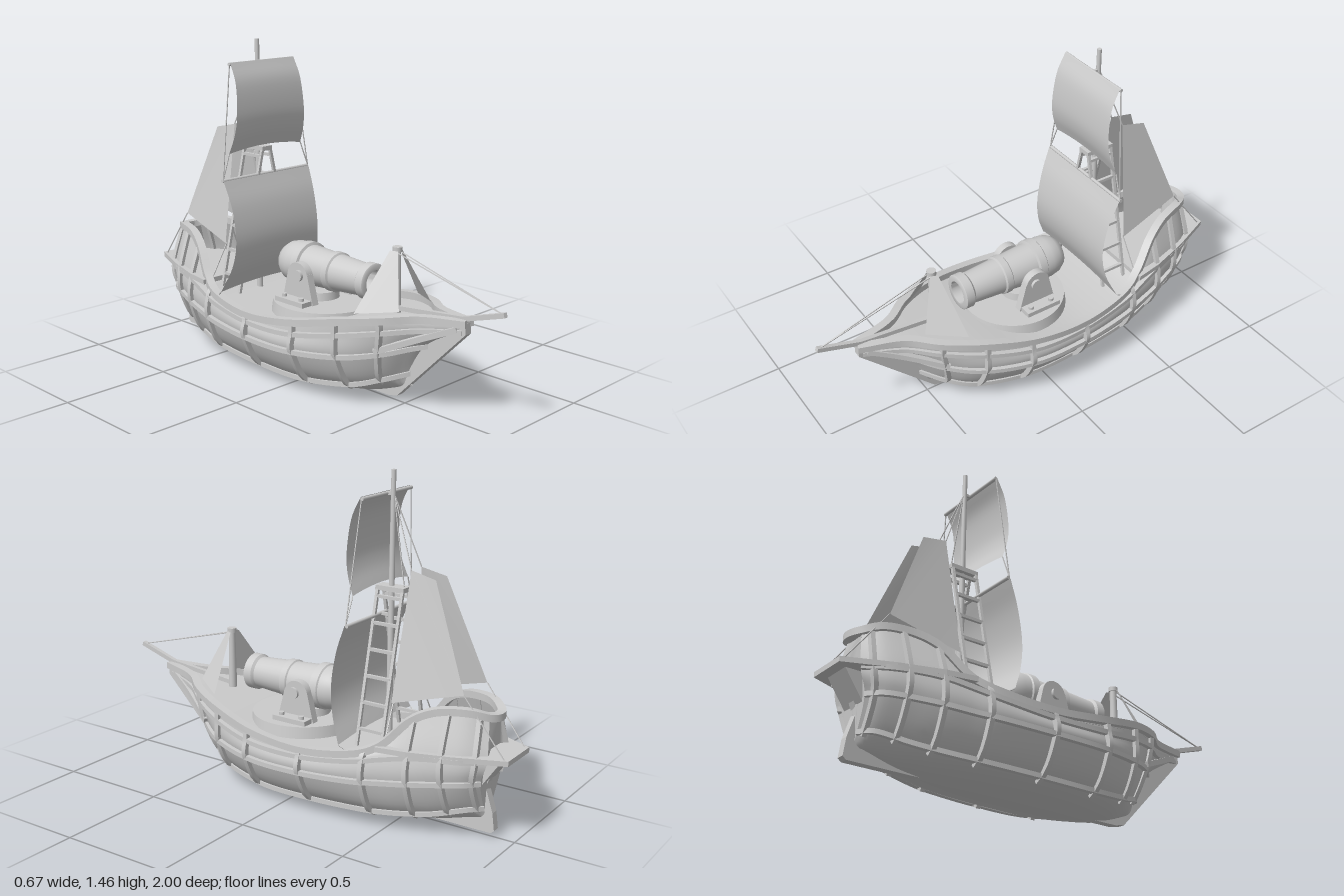
import * as THREE from 'three';
import { toCreasedNormals } from 'three/addons/utils/BufferGeometryUtils.js';

const V = (x, y, z) => new THREE.Vector3(x, y, z);
const mat = new THREE.MeshStandardMaterial({ color: 0xcccccc });
const thin = new THREE.MeshStandardMaterial({ color: 0xcccccc, side: THREE.DoubleSide });
const curve = (pts) => new THREE.CatmullRomCurve3(pts, false, 'catmullrom', 0.5);

// Hull lines on the left side, stern to bow: rail, upper wale, widest wale, low wale
const row = (pts) => pts.map((p) => V(...p));
const rim = row([[.05, .53, -.89], [.1, .55, -.82], [.14, .54, -.7], [.18, .49, -.6], [.225, .385, -.5], [.27, .335, -.38],
  [.3, .31, -.15], [.3, .335, .1], [.25, .38, .33], [.17, .405, .5], [.07, .42, .63], [.012, .43, .82]]);
const upper = row([[.1, .36, -.91], [.16, .36, -.82], [.2, .36, -.7], [.23, .35, -.6], [.255, .33, -.5], [.285, .305, -.38],
  [.308, .28, -.15], [.305, .285, .1], [.25, .32, .33], [.165, .35, .5], [.07, .37, .63], [.01, .39, .8]]);
const middle = row([[.09, .26, -.88], [.15, .26, -.82], [.2, .25, -.7], [.235, .24, -.6], [.26, .23, -.5], [.29, .22, -.38],
  [.315, .21, -.15], [.31, .21, .1], [.245, .225, .33], [.15, .25, .48], [.06, .275, .57], [.005, .29, .63]]);
const lower = row([[.03, .13, -.87], [.08, .13, -.82], [.13, .1, -.7], [.16, .085, -.6], [.185, .075, -.5], [.205, .068, -.38],
  [.22, .062, -.15], [.215, .062, .1], [.165, .085, .33], [.1, .12, .45], [.04, .14, .51], [.004, .15, .54]]);
const keelLine = lower.map((p) => V(0, Math.max(.003, p.y - .062), p.z));
const lines = [rim, upper, middle, lower, keelLine].map(curve);

// Full cross-section of the hull from the right rail under the keel to the left rail
function section(t, k) {
  const half = lines.map((c) => c.getPoint(t));
  const pts = half.map((p) => V(-p.x * k, p.y, p.z));
  for (let i = 3; i >= 0; i--) pts.push(V(half[i].x * k, half[i].y, half[i].z));
  return curve(pts);
}
function stationAt(z) {
  let i = 0;
  while (i < rim.length - 2 && rim[i + 1].z < z) i++;
  return (i + (z - rim[i].z) / (rim[i + 1].z - rim[i].z)) / (rim.length - 1);
}

// Skin over a row of cross-sections
function loft(rings, { closed = false, capStart = false, capEnd = false } = {}) {
  const n = rings[0].length, index = [];
  for (let i = 0; i < rings.length - 1; i++) {
    for (let j = 0; j < (closed ? n : n - 1); j++) {
      const a = i * n + j, b = i * n + (j + 1) % n;
      index.push(a, b, b + n, a, b + n, a + n);
    }
  }
  const e = (rings.length - 1) * n;
  for (let j = 1; j < n - 1; j++) {
    if (capStart) index.push(0, j + 1, j);
    if (capEnd) index.push(e, e + j, e + j + 1);
  }
  const g = new THREE.BufferGeometry().setFromPoints(rings.flat());
  g.setIndex(index);
  return toCreasedNormals(g, .7);
}

// Square timber swept along points; a is its size along ref, b its size across
function beam(pts, a, b = a, ref = V(0, 1, 0)) {
  const rings = pts.map((p, i) => {
    const t = pts[Math.min(i + 1, pts.length - 1)].clone().sub(pts[Math.max(i - 1, 0)]).normalize();
    const u = ref.clone().addScaledVector(t, -ref.dot(t)).normalize();
    const w = t.clone().cross(u);
    return [[1, 1], [-1, 1], [-1, -1], [1, -1]].map(([m, n]) =>
      p.clone().addScaledVector(u, m * a / 2).addScaledVector(w, n * b / 2));
  });
  return loft(rings, { closed: true, capStart: true, capEnd: true });
}

// Plate cut from a (z, y) shape, centred on x
function plate(shape, width, x = 0) {
  return new THREE.ExtrudeGeometry(shape, { depth: width, bevelEnabled: false, curveSegments: 16 })
    .rotateY(-Math.PI / 2).translate(x + width / 2, 0, 0);
}
const polygon = (pts) => new THREE.Shape(pts.map((p) => new THREE.Vector2(...p)));

export function createModel() {
  const model = new THREE.Group();
  const add = (name, geo, material = mat) => {
    const m = new THREE.Mesh(geo, material);
    m.name = name;
    model.add(m);
    return m;
  };
  const steps = (n, f) => Array.from({ length: n + 1 }, (_, i) => f(i / n));
  const flip = (s) => (p) => V(p.x * s, p.y, p.z);

  // Hull shell, deck, rail
  add('hull', loft(steps(66, (t) => section(t, .965).getPoints(48)), { capStart: true }), thin);
  add('deck', loft(steps(60, (t) => {
    const r = lines[0].getPoint(t), w = Math.max(r.x, lines[1].getPoint(t).x) * .965;
    const y = r.z < -.45 ? Math.min(r.y - .02, .36) : r.y - .02;
    return [V(w, y, r.z), V(-w, y, r.z)];
  })), thin);
  const railPath = [...rim].reverse().map(flip(-1)).concat([V(0, .525, -.91)], rim);
  add('rail', beam(curve(railPath).getPoints(130), .03, .036));

  // Keel with stem and sternpost, stern gallery and its bracket
  add('keel', plate(polygon([[.82, .43], [.82, .385], [.47, .03], [.42, .02], [-.9, .022], [-.915, .035], [-.905, .11],
    [-.87, .22], [-.93, .36], [-.8, .34], [-.4, .2], [.3, .2], [.6, .37]]), .036));
  const edge = [[.262, -.49], [.238, -.62], [.18, -.8], [.095, -1]];
  const gallery = polygon([...edge, ...edge.slice().reverse().map(([x, z]) => [-x, z])]);
  add('sternGallery', new THREE.ExtrudeGeometry(gallery, { depth: .022, bevelEnabled: false })
    .rotateX(Math.PI / 2).translate(0, .382, 0));
  add('sternBracket', plate(polygon([[-.86, .365], [-.86, .22], [-.96, .365]]), .13));

  // Wales and ribs of the outer frame
  for (const s of [1, -1]) {
    for (const [i, name] of [[1, 'upperWale'], [2, 'middleWale'], [3, 'lowerWale']]) {
      add(name, beam(lines[i].getPoints(60).map(flip(s)), .02, .024));
    }
    for (const z of [.5, .33, .13, -.15, -.43, -.62, -.75, -.86]) {
      const c = section(stationAt(z), 1.005);
      add('rib', beam(steps(14, (u) => c.getPoint(.605 + .39 * u)).map(flip(s)), .02, .024, V(0, 0, 1)));
    }
    add('headRail', beam(curve([V(.02, .4, .78), V(.075, .34, .64), V(.165, .265, .47)].map(flip(s))).getPoints(10), .024));
  }

  // Turntable, carriage and cannon
  add('turntable', new THREE.CylinderGeometry(.232, .24, .05, 48).translate(0, .335, .035));
  add('turntableHub', new THREE.CylinderGeometry(.08, .085, .04, 32).translate(0, .375, 0));
  const barrel = [[0, -.222], [.035, -.217], [.068, -.2], [.088, -.17], [.096, -.13], [.096, -.095], [.102, -.09], [.102, -.055],
    [.09, -.05], [.082, .08], [.088, .085], [.088, .115], [.08, .12], [.07, .27], [.08, .28], [.08, .318], [.074, .322],
    [.052, .322], [.052, .12], [0, .12]];
  add('cannonBarrel', toCreasedNormals(new THREE.LatheGeometry(barrel.map(([r, z]) => new THREE.Vector2(r, z)), 40)
    .rotateX(Math.PI / 2), .6)).position.y = .49;
  add('trunnion', new THREE.CylinderGeometry(.025, .025, .29, 20).rotateZ(Math.PI / 2).translate(0, .48, 0));
  for (const s of [1, -1]) {
    const cheek = new THREE.Shape();
    cheek.moveTo(.085, .36);
    cheek.lineTo(.05, .49);
    cheek.absarc(-.01, .475, .06, .25, Math.PI - .25, false);
    cheek.lineTo(-.1, .36);
    add('carriageCheek', plate(cheek, .035, s * .115));
    add('carriageFoot', new THREE.BoxGeometry(.075, .022, .17).translate(s * .15, .37, -.008));
    for (const z of [-.06, .045]) add('footBolt', new THREE.CylinderGeometry(.012, .012, .014, 10).translate(s * .162, .387, z));
  }

  // Bowsprit, foremast and mainmast
  add('bowsprit', beam([V(0, .41, .45), V(0, .445, .8), V(0, .505, .995)], .02));
  add('foremast', new THREE.CylinderGeometry(.015, .019, .28, 16).translate(0, .53, .445));
  add('foremastCap', new THREE.CylinderGeometry(.021, .021, .02, 16).translate(0, .66, .445));
  add('mainmast', new THREE.CylinderGeometry(.01, .015, 1.15, 16).translate(0, .885, -.4));
  add('mastTop', new THREE.BoxGeometry(.06, .02, .135).translate(0, .975, -.407));

  // Climbing ladders leaning against the mast
  const lean = (y) => .022 + (.975 - y) * .23;
  for (const s of [1, -1]) {
    for (const z of [-.348, -.466]) add('ladderLeg', beam([V(s * lean(.33), .33, z), V(s * lean(.975), .975, z)], .013, .013, V(0, 0, 1)));
    for (let y = .4; y < .95; y += .108) {
      add('ladderRung', beam([V(s * lean(y), y, -.348), V(s * lean(y), y, -.466)], .013));
    }
  }

  // Square sails billowing forward: [half width, y, z] down each edge
  function squareSail(name, profile, arch) {
    const c = curve(row(profile));
    add(name, loft(steps(20, (t) => {
      const p = c.getPoint(t);
      return steps(12, (u) => V(p.x * (2 * u - 1), p.y + arch * t * 4 * u * (1 - u), p.z));
    })), thin);
  }
  squareSail('topsail', [[.188, 1.37, -.365], [.192, 1.28, -.325], [.2, 1.15, -.31], [.207, 1.06, -.32], [.215, .975, -.35]], .018);
  squareSail('mainsail', [[.258, .86, -.34], [.25, .74, -.295], [.25, .6, -.272], [.262, .48, -.287], [.29, .365, -.335]], .018);
  for (const [y, z, w] of [[1.362, -.372, .19], [.86, -.35, .258]]) {
    add('yard', new THREE.CylinderGeometry(.008, .008, w * 2, 10).rotateZ(Math.PI / 2).translate(0, y, z));
    add('yardSling', beam([V(0, y, z), V(0, y, -.4)], .012));
  }

  // Paired foresails and stern sails, with rigging
  function flatSail(name, pts) {
    const g = new THREE.BufferGeometry().setFromPoints(pts);
    g.setIndex([0, 1, 2, 0, 2, 3]);
    g.computeVertexNormals();
    add(name, g, thin);
  }
  const rope = (a, b) => add('rope', beam([a, b], .004, .004, V(.1, .3, .9).normalize()));
  rope(V(0, 1.36, -.405), V(0, .98, -.46));
  for (const s of [1, -1]) {
    flatSail('foresail', [V(.015, .655, .46), V(.03, .655, .43), V(.2, .415, .39), V(.1, .435, .545)].map(flip(s)));
    flatSail('sternSail', [V(.04, 1.07, -.515), V(.045, 1.045, -.63), V(.1, .615, -.8), V(.13, .53, -.487)].map(flip(s)));
    rope(V(s * .188, 1.365, -.37), V(s * .256, .865, -.345));
    rope(V(s * .215, .975, -.35), V(s * .256, .865, -.345));
    rope(V(s * .29, .365, -.335), V(s * .27, .335, -.38));
    rope(V(0, 1.36, -.405), V(s * .04, 1.07, -.515));
    rope(V(s * .1, .615, -.8), V(s * .09, .38, -.98));
    rope(V(s * .12, .53, -.49), V(s * .2, .38, -.5));
    rope(V(s * .012, .65, .445), V(0, .503, .99));
  }
  return model;
}
